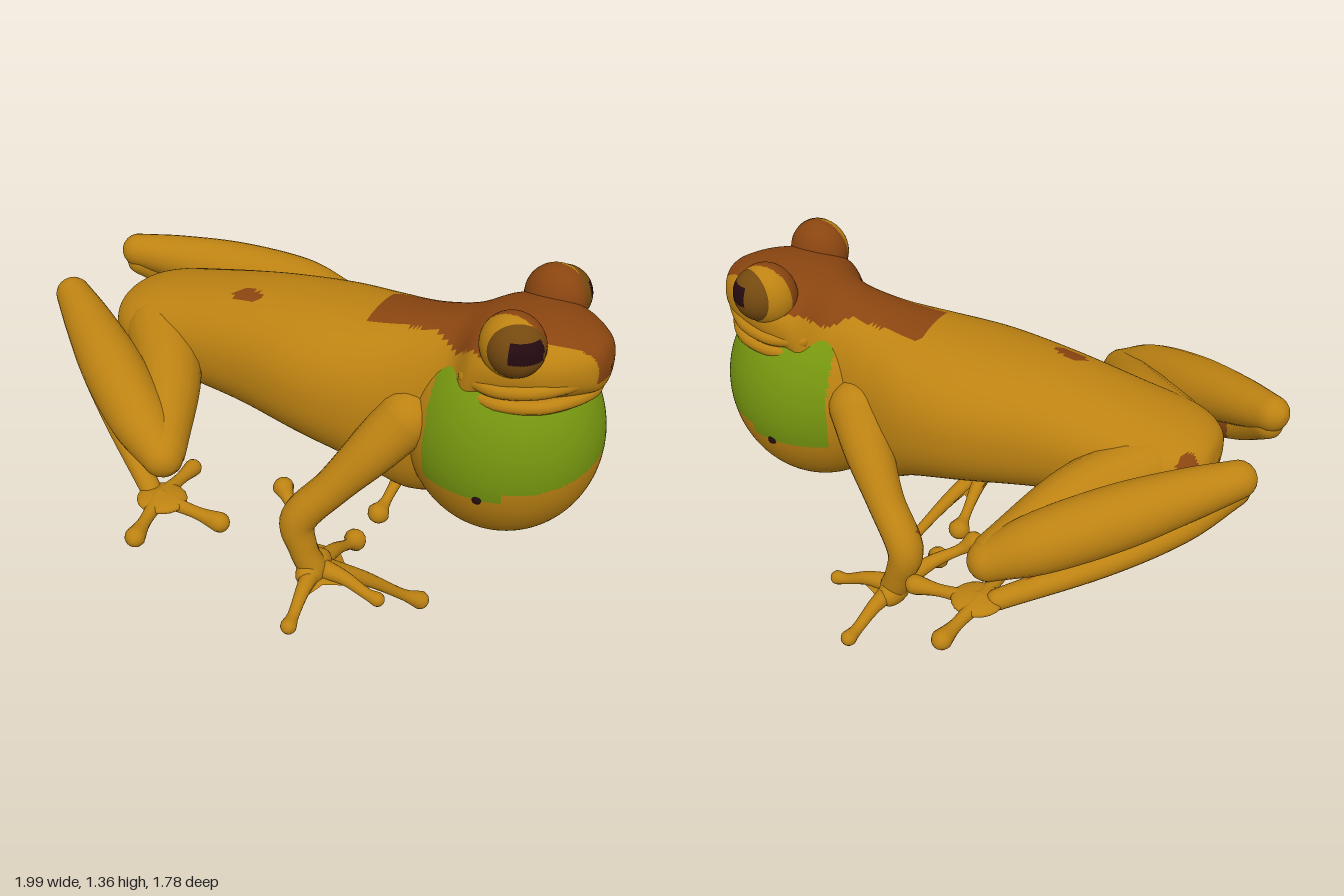
import * as THREE from 'three';

const V = (x, y, z) => new THREE.Vector3(x, y, z);
const material = (name, color, side = THREE.FrontSide) => new THREE.MeshStandardMaterial({ name, color, side });
const gold = material('gold skin', 0xbd8212, THREE.DoubleSide);
const brown = material('brown skin', 0x8a4510);
const green = material('green throat', 0x76960f);
const amber = material('amber eye', 0x74490f);
const dark = material('dark pupil', 0x240a10);

function mesh(name, geometry, mat) {
  const m = new THREE.Mesh(geometry, mat);
  m.name = name;
  return m;
}

// Skin joining closed rings of equal point count
function loft(rings) {
  const n = rings[0].length, index = [];
  for (let i = 0; i < rings.length - 1; i++) {
    for (let j = 0; j < n; j++) {
      const k = (j + 1) % n, a = i * n, b = a + n;
      index.push(a + j, a + k, b + j, a + k, b + k, b + j);
    }
  }
  const g = new THREE.BufferGeometry().setFromPoints(rings.flat());
  g.setIndex(index);
  g.computeVertexNormals();
  return g;
}

// Sort faces into two material groups by a rule on their centre
function paint(g, rule) {
  const sets = [[], []], p = g.attributes.position, c = V(0, 0, 0), v = V(0, 0, 0);
  for (let i = 0; i < g.index.count; i += 3) {
    const tri = [0, 1, 2].map((k) => g.index.getX(i + k));
    c.set(0, 0, 0);
    tri.forEach((k) => c.addScaledVector(v.fromBufferAttribute(p, k), 1 / 3));
    sets[rule(c) ? 1 : 0].push(...tri);
  }
  g.setIndex([...sets[0], ...sets[1]]);
  g.addGroup(0, sets[0].length, 0);
  g.addGroup(sets[0].length, sets[1].length, 1);
  return g;
}

// Round-ended limb through [x, y, z, radius] points; s mirrors it in z
function limb(points, s = 1, steps = 28, sides = 16) {
  const path = new THREE.CatmullRomCurve3(points.map((p) => V(p[0], p[1], p[2] * s)), false, 'catmullrom');
  const radius = new THREE.CatmullRomCurve3(points.map((p) => V(p[3], 0, 0)), false, 'catmullrom');
  const { tangents, normals, binormals } = path.computeFrenetFrames(steps);
  const rings = [];
  const add = (i, bulge) => {
    const t = path.getUtoTmapping(i / steps), r = radius.getPoint(t).x;
    const c = path.getPoint(t).addScaledVector(tangents[i], r * Math.sin(bulge));
    const w = Math.max(r * Math.cos(bulge), 0.0005);
    rings.push(Array.from({ length: sides }, (_, j) => {
      const a = (j / sides) * Math.PI * 2;
      return c.clone().addScaledVector(normals[i], w * Math.cos(a)).addScaledVector(binormals[i], w * Math.sin(a));
    }));
  };
  for (let k = 5; k > 0; k--) add(0, (-k / 5) * Math.PI / 2);
  for (let i = 0; i <= steps; i++) add(i, 0);
  for (let k = 1; k <= 5; k++) add(steps, (k / 5) * Math.PI / 2);
  return loft(rings);
}

function ball(x, y, z, rx, ry = rx, rz = rx, seg = 40) {
  return new THREE.SphereGeometry(1, seg, seg).scale(rx, ry, rz).translate(x, y, z);
}

// Torso and head, sections: x, top, bottom, half width
function bodyGeometry() {
  const sections = [
    [-0.825, 0.91, 0.89, 0.005], [-0.8, 0.98, 0.81, 0.13], [-0.7, 1.03, 0.76, 0.21], [-0.5, 1.08, 0.72, 0.23],
    [-0.25, 1.13, 0.69, 0.255], [0, 1.155, 0.65, 0.295], [0.2, 1.17, 0.6, 0.285], [0.38, 1.2, 0.52, 0.235],
    [0.52, 1.24, 0.6, 0.2], [0.62, 1.28, 0.95, 0.235], [0.74, 1.295, 1.04, 0.24], [0.86, 1.285, 1.05, 0.19],
    [0.94, 1.26, 1.07, 0.125], [0.98, 1.23, 1.09, 0.07], [0.995, 1.17, 1.15, 0.005]];
  const a = new THREE.CatmullRomCurve3(sections.map((q) => V(q[0], q[1], q[2])), false, 'catmullrom');
  const b = new THREE.CatmullRomCurve3(sections.map((q) => V(q[3], 0, 0)), false, 'catmullrom');
  const rings = [], sides = 72, steps = 168;
  const bend = (v) => Math.sign(v) * Math.abs(v) ** 0.9;
  for (let i = 0; i <= steps; i++) {
    const p = a.getPoint(i / steps), w = Math.max(b.getPoint(i / steps).x, 0.003);
    rings.push(Array.from({ length: sides }, (_, j) => {
      const t = (j / sides) * Math.PI * 2;
      return V(p.x, (p.y + p.z) / 2 + bend(Math.cos(t)) * (p.y - p.z) / 2, bend(Math.sin(t)) * w);
    }));
  }
  // Brown crown, widening at the eyes, and two spots on the back
  return paint(loft(rings), ({ x, y, z }) => {
    const w = x < 0.45 ? 0.1 : x < 0.65 ? 0.1 + (x - 0.45) * 0.6 : 0.22 - (x - 0.65) * 0.45;
    const spot = (sx, sz, rx, rz) => y > 0.9 && ((x - sx) / rx) ** 2 + ((z - sz) / rz) ** 2 < 1;
    return (x > 0.2 && y > 1.13 && Math.abs(z) < w) || spot(-0.27, 0.09, 0.06, 0.032) || spot(-0.77, -0.17, 0.04, 0.06);
  });
}

function addEye(group, s) {
  const socket = paint(ball(0.735, 1.255, 0.178 * s, 0.106, 0.11, 0.09), (c) => Math.abs(c.z) < 0.19 && c.y > 1.2);
  group.add(mesh('eyeSocket', socket, [gold, brown]));
  const eye = paint(ball(0.752, 1.26, 0.197 * s, 0.093, 0.094, 0.088, 56), (c) =>
    Math.abs(c.y - 1.28) < 0.034 && Math.abs(c.x - 0.802) < 0.042 && Math.abs(c.z) > 0.2);
  group.add(mesh('eye', eye, [amber, dark]));
}

function addArm(group, s) {
  const arm = limb([[0.4, 0.9, 0.2, 0.1], [0.32, 0.79, 0.28, 0.085], [0.22, 0.66, 0.36, 0.065],
    [0.12, 0.53, 0.42, 0.063], [0.14, 0.42, 0.43, 0.05], [0.17, 0.34, 0.42, 0.05]], s, 50, 20);
  group.add(mesh('arm', paint(arm, (c) => c.y > 0.4 && c.y < 0.6 && Math.abs(c.z) < 0.395), [gold, brown]));
  group.add(mesh('palm', ball(0.17, 0.33, 0.41 * s, 0.05, 0.055, 0.09, 20), gold));
  // Fingers with round pads
  const tips = [[0.22, 0.285, 0.665, 0.028], [0.41, 0.28, 0.4, 0.026], [0.16, 0.225, 0.095, 0.042], [-0.05, 0.475, 0.235, 0.038]];
  if (s > 0) tips.splice(2, 0, [0.42, 0.036, 0.075, 0.034]);
  const root = [0.17, 0.33, 0.4];
  const along = (tip, t, lift = 0) => root.map((v, k) => v + (tip[k] - v) * t + (k === 1 ? lift : 0));
  for (const tip of tips) {
    group.add(mesh('finger', limb([[...root, 0.04], [...along(tip, 0.45, 0.015), 0.026],
      [...along(tip, 0.82), 0.02], tip], s, 20, 12), gold));
  }
  // Webbing between neighbouring fingers
  const web = [];
  for (let i = 0; i < tips.length - 1; i++) {
    const a = along(tips[i], 0.6), b = along(tips[i + 1], 0.6);
    const mid = a.map((v, k) => (v + b[k]) * 0.35 + root[k] * 0.3);
    for (const p of [root, a, mid, root, mid, b]) web.push(V(p[0], p[1], p[2] * s));
  }
  const g = new THREE.BufferGeometry().setFromPoints(web);
  g.computeVertexNormals();
  group.add(mesh('handWeb', g, gold));
}

function addLeg(group, s) {
  group.add(mesh('thigh', limb([[-0.62, 0.9, 0.12, 0.12], [-0.45, 0.85, 0.32, 0.11], [-0.29, 0.775, 0.59, 0.075]], s), gold));
  group.add(mesh('shin', limb([[-0.28, 0.765, 0.615, 0.07], [-0.42, 0.825, 0.54, 0.1], [-0.62, 0.895, 0.41, 0.105],
    [-0.8, 0.955, 0.29, 0.085], [-0.935, 0.995, 0.2, 0.062]], s, 36, 24), gold));
  const foot = limb([[-0.93, 0.95, 0.2, 0.05], [-0.8, 0.84, 0.31, 0.05], [-0.6, 0.735, 0.45, 0.045],
    [-0.32, 0.635, 0.64, 0.035]], s, 40, 20);
  group.add(mesh('foot', paint(foot, (c) => c.x > -0.78 && c.x < -0.4 && Math.abs(c.z) < 0.865 + c.x * 0.685 - 0.005), [gold, brown]));
  group.add(mesh('footPad', ball(-0.26, 0.63, 0.66 * s, 0.085, 0.025, 0.08, 20), gold));
  // Toes with round pads
  for (const tip of [[-0.04, 0.61, 0.655, 0.034], [-0.23, 0.615, 0.855, 0.034], [-0.28, 0.615, 0.45, 0.03]]) {
    const mid = [0, 1, 2].map((k) => [-0.27, 0.63, 0.66][k] * 0.4 + tip[k] * 0.6);
    group.add(mesh('toe', limb([[-0.27, 0.63, 0.66, 0.03], [...mid, 0.021], tip], s, 16, 12), gold));
  }
}

export function createModel() {
  const frog = new THREE.Group();
  frog.name = 'frog';
  frog.add(mesh('body', bodyGeometry(), [gold, brown]));

  // Inflated throat, green above and gold below
  const sac = paint(ball(0.66, 0.84, 0, 0.333, 0.37, 0.312, 110), (c) =>
    c.x > 0.49 && c.y > (c.x < 0.78 ? 0.735 : 0.775 + Math.max(0, 0.05 - Math.abs(c.z) * 0.2)));
  frog.add(mesh('throatSac', sac, [gold, green]));

  // Upper and lower lips
  const lip = (y, rise, r, reach) => limb([[0.6, y, -0.2, r], [0.72, y, -0.228, r], [0.86, y + rise * 0.5, -0.17, r],
    [reach, y + rise, 0, r], [0.86, y + rise * 0.5, 0.17, r], [0.72, y, 0.228, r], [0.6, y, 0.2, r]], 1, 48, 12);
  frog.add(mesh('upperLip', lip(1.115, 0.025, 0.026, 0.965), gold));
  frog.add(mesh('lowerLip', lip(1.065, 0.005, 0.024, 0.95), gold));

  for (const s of [1, -1]) {
    const side = new THREE.Group();
    side.name = s > 0 ? 'leftSide' : 'rightSide';
    addEye(side, s);
    addArm(side, s);
    addLeg(side, s);
    side.add(mesh('throatSpot', ball(0.7, 0.735, 0.296 * s, 0.016, 0.016, 0.008, 12), dark));
    side.add(mesh('nostril', ball(0.95, 1.235, 0.04 * s, 0.012, 0.012, 0.012, 12), brown));
    frog.add(side);
  }
  return frog;
}
